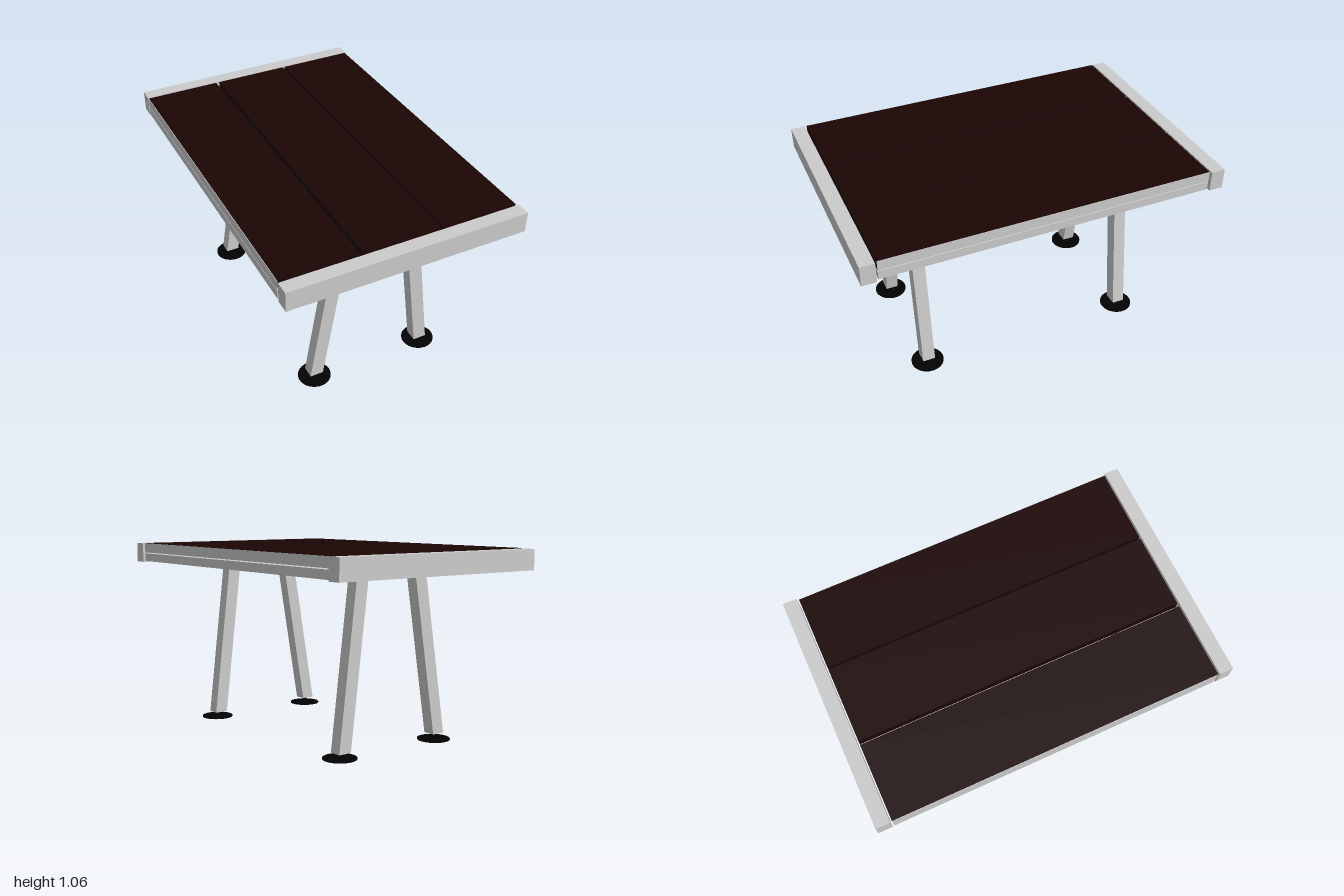
import * as THREE from 'three';

export function createModel() {
  const root = new THREE.Group();
  const grey = new THREE.MeshStandardMaterial({ color: 0xcccccc });
  const slat = new THREE.MeshStandardMaterial({ color: 0x1c0505 });
  const black = new THREE.MeshStandardMaterial({ color: 0x020202 });

  const add = (name, geometry, material, parent = root) => {
    const mesh = new THREE.Mesh(geometry, material);
    mesh.name = name;
    parent.add(mesh);
    return mesh;
  };

  // Box given by its limits on each axis
  const block = (name, x0, x1, y0, y1, z0, z1, material = grey) => {
    const mesh = add(name, new THREE.BoxGeometry(x1 - x0, y1 - y0, z1 - z0), material);
    mesh.position.set((x0 + x1) / 2, (y0 + y1) / 2, (z0 + z1) / 2);
  };

  // Leaning member: box sheared so both ends stay level
  const slanted = (xBottom, yBottom, xTop, yTop, width, depth) => {
    const g = new THREE.BoxGeometry(width, yTop - yBottom, depth);
    g.translate(0, (yTop + yBottom) / 2, 0);
    const p = g.attributes.position;
    for (let i = 0; i < p.count; i++) {
      const t = (p.getY(i) - yBottom) / (yTop - yBottom);
      p.setX(i, p.getX(i) + xBottom + (xTop - xBottom) * t);
    }
    g.computeVertexNormals();
    return g;
  };

  // Three thick dark top boards with narrow gaps
  for (const x of [-0.445, -0.001, 0.436]) {
    block('topBoard', x - 0.212, x + 0.212, 1.006, 1.062, -0.912, 0.912, slat);
  }

  // End beams
  block('frontBeam', -0.66, 0.66, 0.947, 1.06, 0.922, 1);
  block('backBeam', -0.66, 0.66, 0.947, 1.06, -1, -0.922);

  // Side rails under the boards, and grey edging on the outer board sides
  block('rightRail', -0.659, -0.594, 0.953, 1, -0.912, 0.912);
  block('leftRail', 0.585, 0.65, 0.953, 1, -0.912, 0.912);
  block('rightEdging', -0.66, -0.657, 1.006, 1.061, -0.912, 0.912);
  block('leftEdging', 0.648, 0.651, 1.006, 1.061, -0.912, 0.912);

  // Crossbars, and legs with pins and round feet
  for (const z of [-0.609, 0.605]) {
    block('crossbar', -0.594, 0.585, 0.96, 1, z - 0.036, z + 0.036);
    const legs = [
      { bottom: -0.325, top: -0.17, low: 0.037, foot: -0.323 },
      { bottom: 0.336, top: 0.221, low: 0.03, foot: 0.343 },
    ];
    for (const l of legs) {
      const leg = new THREE.Group();
      leg.name = 'legAssembly';
      leg.position.z = z;
      root.add(leg);
      add('leg', slanted(l.bottom, l.low, l.top, 0.962, 0.076, 0.07), grey, leg);
      add('footPin', slanted(l.foot - 0.005, 0.004, l.foot + 0.003, 0.042, 0.015, 0.015), black, leg);
      const foot = add('foot', new THREE.CylinderGeometry(0.091, 0.091, 0.006, 40), black, leg);
      foot.position.set(l.foot, 0.003, 0);
    }
  }
  return root;
}
